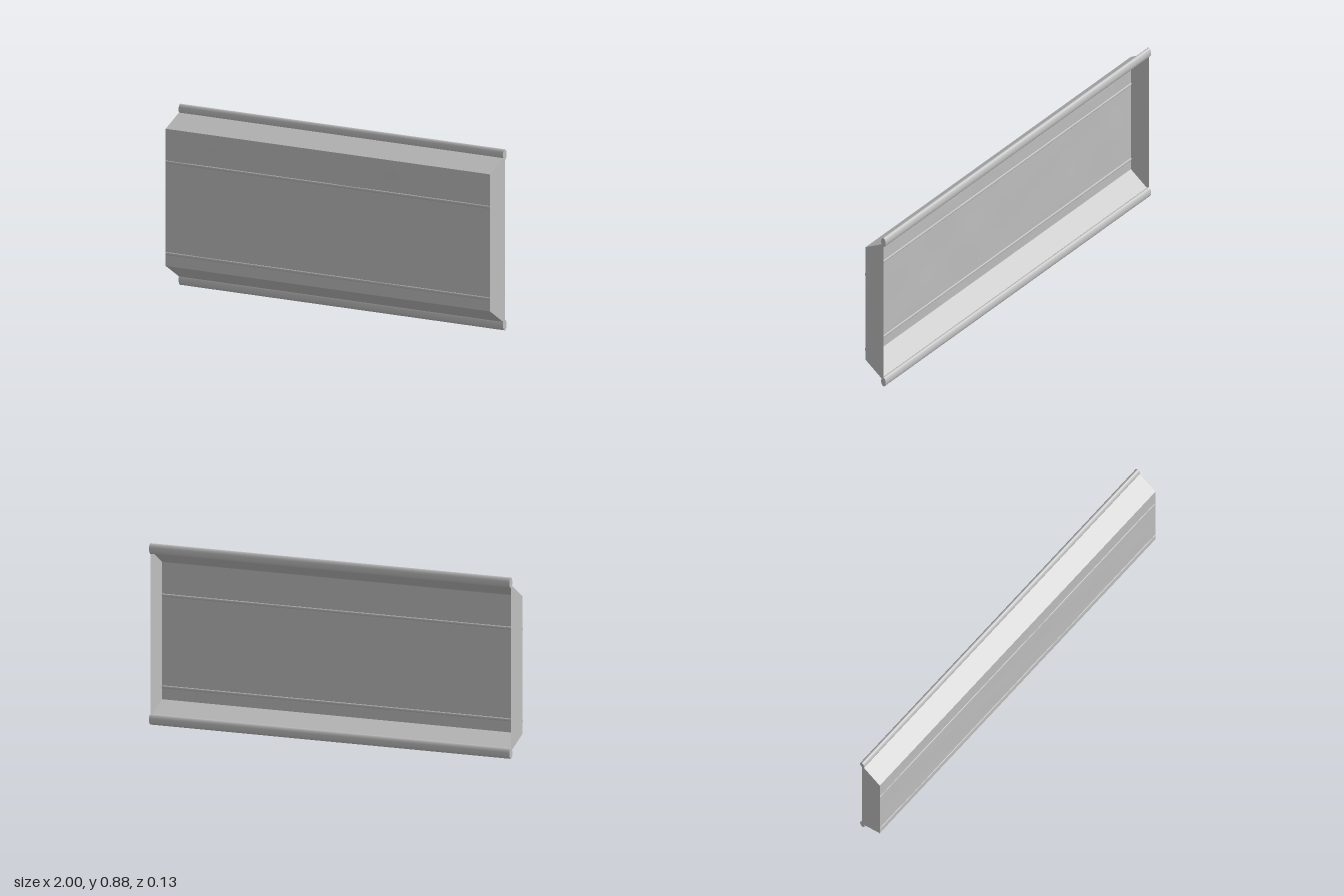
import * as THREE from 'three';

const FRONT = 0.059, BACK = -0.054;   // panel face and open rear edge
const LOW = 0.108, HIGH = 0.776;      // front face height range
const RAIL_LOW = 0.027, RAIL_HIGH = 0.857;

export function createModel() {
  const model = new THREE.Group();
  model.name = 'truckTailgate';
  const steel = new THREE.MeshStandardMaterial({ color: 0xc0c0c0, side: THREE.DoubleSide });
  steel.name = 'greySteel';

  const add = (name, geometry, x = 0, y = 0, z = 0) => {
    const mesh = new THREE.Mesh(geometry, steel);
    mesh.name = name;
    mesh.position.set(x, y, z);
    model.add(mesh);
    return mesh;
  };

  // Front sheet, gently rippled with worn metal, straight at its border
  const height = HIGH - LOW;
  const sheet = new THREE.PlaneGeometry(2, height, 120, 40);
  const p = sheet.attributes.position;
  for (let i = 0; i < p.count; i++) {
    const x = p.getX(i), y = p.getY(i);
    const edge = Math.min(1, (1 - Math.abs(x)) / 0.1, (height / 2 - Math.abs(y)) / 0.1);
    const ripple = Math.sin(x * 9 + y * 5) * Math.sin(y * 13 - x * 3) + 0.5 * Math.sin(x * 17 - y * 8);
    p.setZ(i, edge * 0.001 * (ripple - 0.8));
  }
  sheet.computeVertexNormals();
  add('frontSheet', sheet, 0, (LOW + HIGH) / 2, FRONT);

  // Sloping flanges running back to the rails
  const flange = (name, yFront, yBack) => {
    const run = FRONT - BACK, rise = yBack - yFront;
    const geometry = new THREE.PlaneGeometry(2, Math.hypot(run, rise));
    geometry.rotateX(Math.atan2(rise, run) - Math.PI / 2);
    if (rise < 0) geometry.rotateX(0);
    add(name, geometry, 0, (yFront + yBack) / 2, (FRONT + BACK) / 2);
  };
  flange('topFlange', HIGH, 0.849);
  flange('bottomFlange', LOW, 0.035);

  // End plates closing the sides
  const profile = new THREE.Shape([
    [-FRONT, LOW], [-BACK, 0.035], [-BACK, 0.849], [-FRONT, HIGH],
  ].map(([x, y]) => new THREE.Vector2(x, y)));
  for (const side of [1, -1]) {
    const plate = new THREE.ShapeGeometry(profile);
    plate.rotateY(Math.PI / 2);
    if (side < 0) plate.rotateY(Math.PI).scale(1, 1, -1);
    // Reversed winding on the mirrored plate is restored here
    if (side < 0) {
      plate.setIndex(Array.from(plate.index.array).reverse());
      plate.computeVertexNormals();
    }
    add(side > 0 ? 'leftEndPlate' : 'rightEndPlate', plate, side, 0, 0);
  }

  // Oval bars along x
  const bar = (name, y, z, ry, rz) => {
    const geometry = new THREE.CylinderGeometry(1, 1, 2, 32);
    geometry.rotateZ(Math.PI / 2);
    geometry.scale(1, ry, rz);
    add(name, geometry, 0, y, z);
  };
  bar('topRail', RAIL_HIGH, -0.053, 0.026, 0.014);
  bar('bottomRail', RAIL_LOW, -0.053, 0.026, 0.014);
  bar('upperRib', 0.615, FRONT - 0.001, 0.007, 0.004);
  bar('lowerRib', 0.169, FRONT - 0.001, 0.007, 0.004);

  return model;
}
